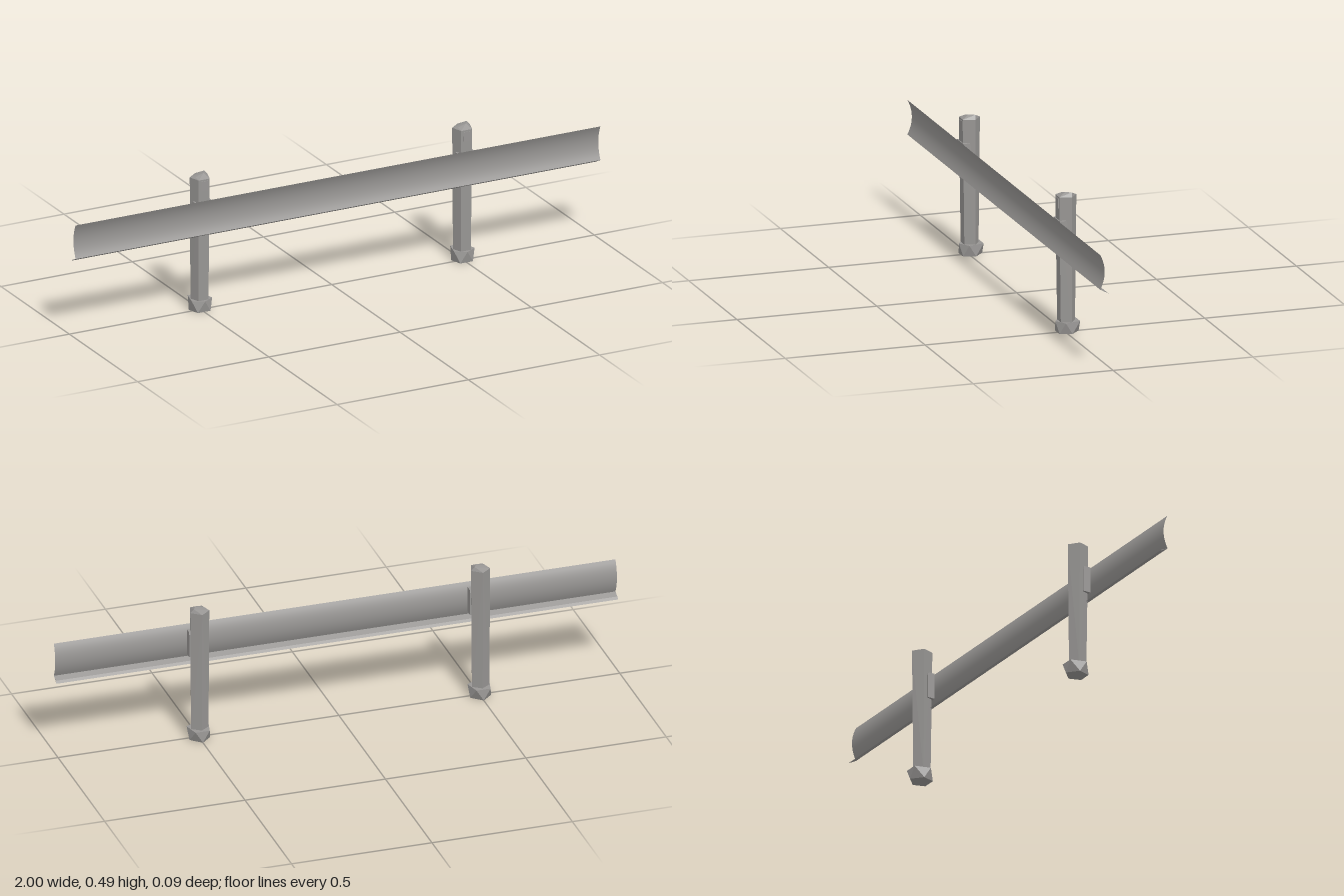
import * as THREE from 'three';
import { ConvexGeometry } from 'three/addons/geometries/ConvexGeometry.js';

const LENGTH = 2;
const RAIL_Z = 0.046;

// Extrude a (z, y) outline along x
function extrudeAlongX(points, width) {
  const shape = new THREE.Shape(points.map(([z, y]) => new THREE.Vector2(-z, y)));
  const geo = new THREE.ExtrudeGeometry(shape, { depth: width, bevelEnabled: false });
  geo.translate(0, 0, -width / 2);
  geo.rotateY(Math.PI / 2);
  return geo;
}

// Lift a list of (x, z) corners to height y
const ring = (corners, y, s = 1) => corners.map(([x, z]) => new THREE.Vector3(x * s, y, z * s));

// Open sheet with a shallow hollow facing the front
function curvedSheet() {
  const geo = new THREE.PlaneGeometry(LENGTH, 1, 1, 12);
  const p = geo.attributes.position;
  for (let i = 0; i < p.count; i++) {
    const t = p.getY(i) * 2;
    p.setY(i, 0.349 + t * 0.061);
    p.setZ(i, RAIL_Z - 0.016 * (1 - t * t));
  }
  geo.computeVertexNormals();
  return geo;
}

export function createModel() {
  const model = new THREE.Group();
  model.name = 'guardRail';

  const steel = new THREE.MeshStandardMaterial({ color: 0x989694 });
  steel.name = 'greySteel';
  const sheet = new THREE.MeshStandardMaterial({ color: 0x989694, side: THREE.DoubleSide });
  sheet.name = 'greySteelSheet';

  const add = (parent, name, geo, mat = steel) => {
    const mesh = new THREE.Mesh(geo, mat);
    mesh.name = name;
    parent.add(mesh);
    return mesh;
  };

  // Rail with its folded lower lip
  add(model, 'rail', curvedSheet(), sheet);
  add(model, 'railLip', extrudeAlongX([[RAIL_Z, 0.288], [0.016, 0.272], [0.025, 0.279]], LENGTH), sheet);

  // Five-sided cross-sections, one point to the back
  const foot = [[0.031, -0.014], [0.019, 0.021], [-0.019, 0.021], [-0.031, -0.014], [0, -0.036]];
  const head = [[0.034, -0.014], [0.021, 0.027], [-0.021, 0.027], [-0.034, -0.014], [0, -0.041]];
  const baseLow = [[0.037, -0.015], [0.024, 0.027], [-0.024, 0.027], [-0.037, -0.015], [0, -0.049]];
  const baseHigh = [[0, 0.034], [0.039, 0.01], [0.025, -0.046], [-0.025, -0.046], [-0.039, 0.01]];

  const parts = {
    post: new ConvexGeometry([...ring(foot, 0.02), ...ring(head, 0.48)]),
    // Uneven faceted top
    postCap: new ConvexGeometry([
      ...ring(head, 0.48),
      new THREE.Vector3(0.022, 0.494, -0.017),
      new THREE.Vector3(0.01, 0.494, 0.003),
      new THREE.Vector3(-0.022, 0.485, 0.005),
    ]),
    // Twisted footing with triangular sides
    footing: new ConvexGeometry([...ring(baseLow, 0), ...ring(baseHigh, 0.04)]),
    // Spacer between post and rail
    spacer: extrudeAlongX(
      [[0.029, 0.305], [0.002, 0.305], [0.002, 0.388], [0.005, 0.398], [0.029, 0.398]], 0.064),
    // Small plate near the top of the post
    postPlate: new THREE.BoxGeometry(0.026, 0.034, 0.006).translate(0.002, 0.457, 0.026),
  };

  // Two matching posts
  for (const [name, x] of [['rightPost', -0.5], ['leftPost', 0.5]]) {
    const group = new THREE.Group();
    group.name = name;
    group.position.x = x;
    for (const [part, geo] of Object.entries(parts)) add(group, part, geo);
    model.add(group);
  }
  return model;
}
